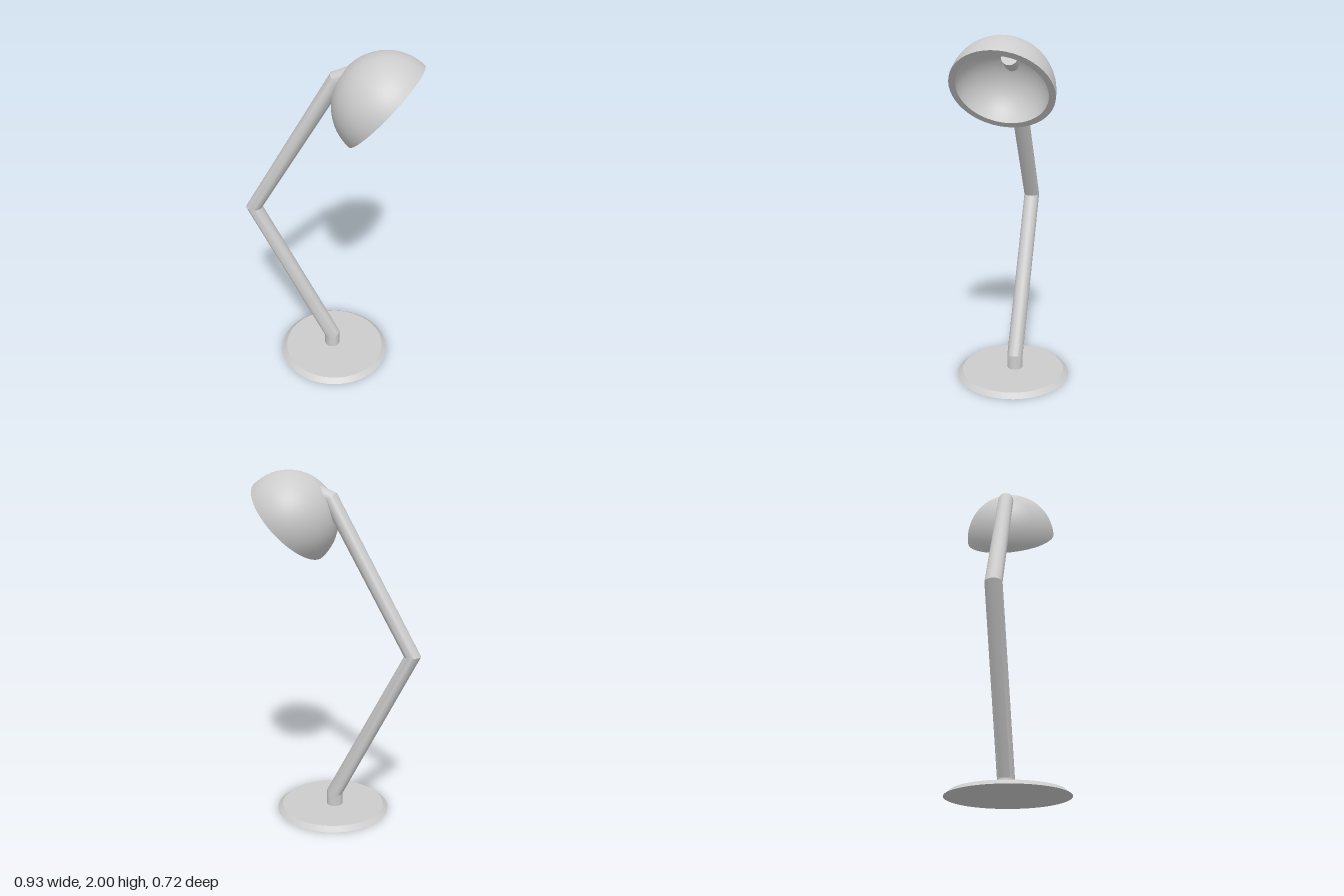
import * as THREE from 'three';
import { toCreasedNormals } from 'three/addons/utils/BufferGeometryUtils.js';

const material = new THREE.MeshStandardMaterial({ color: 0xcccccc });

function addPart(group, name, geometry, crease) {
  const mesh = new THREE.Mesh(toCreasedNormals(geometry, crease), material);
  mesh.name = name;
  group.add(mesh);
  return mesh;
}

// Closed round bar along straight segments, one ring per point
function barGeometry(points, radius, sides) {
  const positions = [], index = [];
  const last = points.length - 1;
  points.forEach((p, i) => {
    const tangent = new THREE.Vector3();
    if (i > 0) tangent.add(p.clone().sub(points[i - 1]).normalize());
    if (i < last) tangent.add(points[i + 1].clone().sub(p).normalize());
    tangent.normalize();
    const u = new THREE.Vector3(0, 0, 1).projectOnPlane(tangent).normalize();
    const v = tangent.clone().cross(u);
    for (let j = 0; j < sides; j++) {
      const a = (j / sides) * Math.PI * 2;
      const q = p.clone().addScaledVector(u, radius * Math.cos(a)).addScaledVector(v, radius * Math.sin(a));
      positions.push(q.x, q.y, q.z);
    }
  });
  const startCentre = positions.length / 3;
  positions.push(...points[0].toArray(), ...points[last].toArray());
  for (let j = 0; j < sides; j++) {
    const k = (j + 1) % sides;
    for (let i = 0; i < last; i++) {
      const a = i * sides + j, b = i * sides + k;
      index.push(a, b, a + sides, b, b + sides, a + sides);
    }
    index.push(startCentre, k, j);
    index.push(startCentre + 1, last * sides + j, last * sides + k);
  }
  const geometry = new THREE.BufferGeometry();
  geometry.setAttribute('position', new THREE.Float32BufferAttribute(positions, 3));
  geometry.setIndex(index);
  return geometry;
}

// Quarter arc from (0, r) down to (r, 0)
function quarterArc(r, steps) {
  return Array.from({ length: steps + 1 }, (_, i) => {
    const a = (i / steps) * Math.PI / 2;
    return new THREE.Vector2(r * Math.sin(a), r * Math.cos(a));
  });
}

export function createModel() {
  const lamp = new THREE.Group();
  lamp.name = 'deskLamp';

  // Thin round foot with a bevelled edge
  const footProfile = [[0, 0], [0.335, 0], [0.305, 0.025], [0, 0.025]].map(([x, y]) => new THREE.Vector2(x, y));
  const base = addPart(lamp, 'base', new THREE.LatheGeometry(footProfile, 64), 0.4);
  base.position.set(0.023, 0, 0.025);

  // Bent arm from the foot, over the elbow, into the shade
  const armPath = [
    [0.005, 0.015, 0.024],
    [0.005, 0.1, 0.024],
    [-0.42, 1.0, 0.22],
    [0.027, 1.84, 0.015],
    [0.122, 1.885, -0.035],
  ].map((p) => new THREE.Vector3(...p));
  addPart(lamp, 'arm', barGeometry(armPath, 0.047, 24), 0.4);

  // Thick hemispherical shade, open side tilted down
  const shadeProfile = [...quarterArc(0.245, 20), ...quarterArc(0.28, 20).reverse()];
  const shade = addPart(lamp, 'shade', new THREE.LatheGeometry(shadeProfile, 48), 0.6);
  shade.position.set(0.262, 1.72, -0.095);
  const opening = new THREE.Vector3(0.69, -0.65, -0.31).normalize();
  shade.quaternion.setFromUnitVectors(new THREE.Vector3(0, -1, 0), opening);

  return lamp;
}
